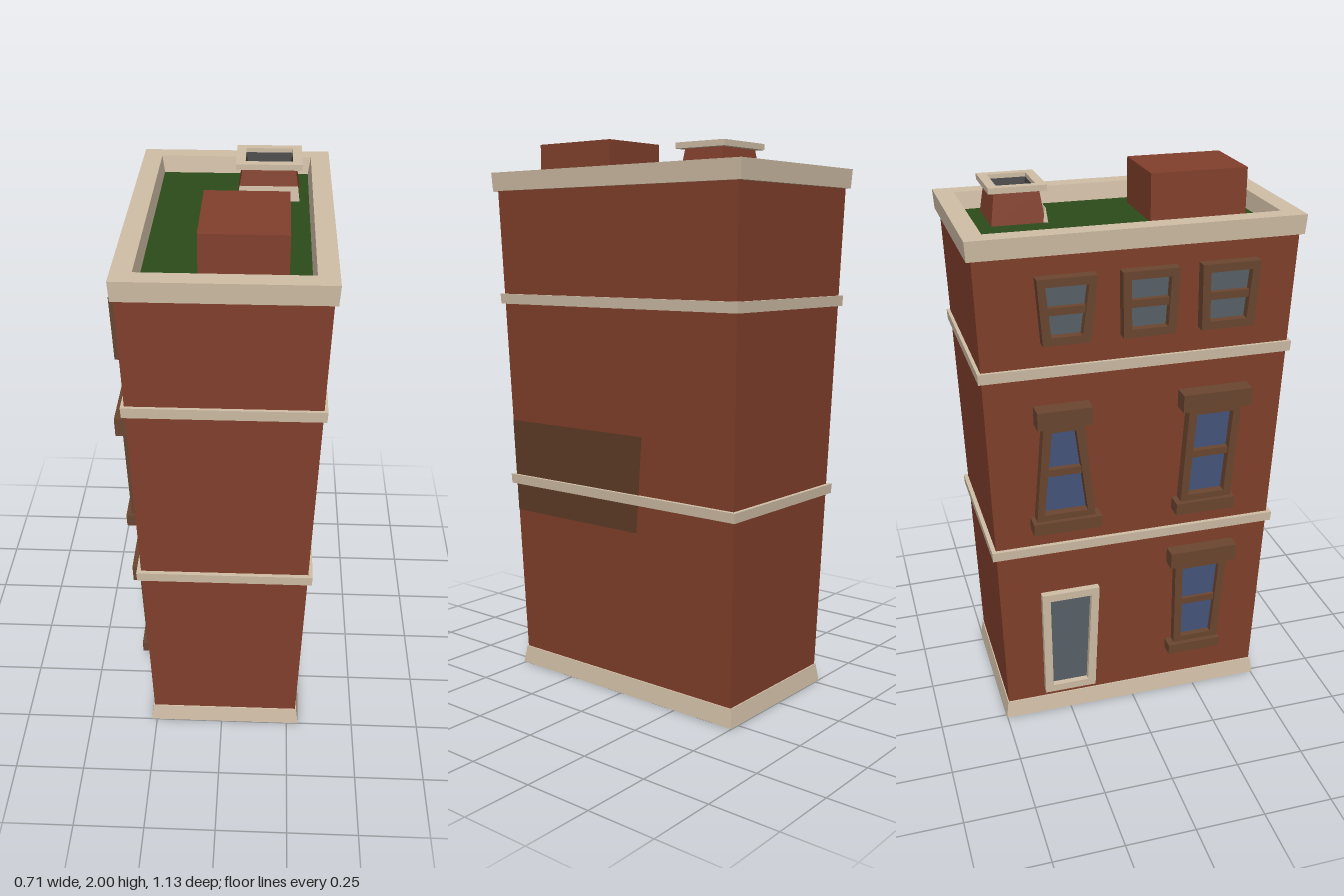
import * as THREE from 'three';

const COLORS = {
  brick: 0x82402c, stone: 0xd0bea6, turf: 0x2c4c1a, wood: 0x6b4630,
  glass: 0x46557a, paleGlass: 0x5a6268, grey: 0x6a6a6a, dark: 0x444444, patch: 0x5f3c27,
};
const mats = {};
for (const k in COLORS) mats[k] = new THREE.MeshStandardMaterial({ color: COLORS[k] });

// Walls lean outwards with height
const lean = (y) => 0.057 * (y - 0.07) / 1.75;

// Plane mappings (u, v, height above plane) -> xyz
const onGround = (u, v, h) => [u, h, -v];
const onWindowWall = (u, v, h) => [-0.257 - lean(v) - h, v, u];
const onBlankWall = (u, v, h) => [0.281 + lean(v) + h, v, -u];

const rect = (u0, u1, v0, v1) => [[u0, v0], [u1, v0], [u1, v1], [u0, v1]];
const trapezoid = (b0, b1, t0, t1, v0, v1) => [[b0, v0], [b1, v0], [t1, v1], [t0, v1]];

// Carries a four-cornered outline through a profile of [inset, height] steps
function loft(name, mat, quad, profile, map, caps = '') {
  const signs = [[1, 1], [-1, 1], [-1, -1], [1, -1]];
  const loops = profile.map(([inset, h]) =>
    quad.map(([u, v], i) => map(u + signs[i][0] * inset, v + signs[i][1] * inset, h)));
  const pos = [];
  const face = (a, b, c, d) => pos.push(...a, ...b, ...c, ...a, ...c, ...d);
  for (let k = 0; k + 1 < loops.length; k++) {
    for (let i = 0; i < 4; i++) {
      const j = (i + 1) % 4;
      face(loops[k][i], loops[k][j], loops[k + 1][j], loops[k + 1][i]);
    }
  }
  if (caps.includes('start')) face(...[...loops[0]].reverse());
  if (caps.includes('end')) face(...loops[loops.length - 1]);
  const geo = new THREE.BufferGeometry();
  geo.setAttribute('position', new THREE.Float32BufferAttribute(pos, 3));
  geo.computeVertexNormals();
  const mesh = new THREE.Mesh(geo, mats[mat]);
  mesh.name = name;
  return mesh;
}

const wallBlock = (name, mat, quad, depth) =>
  loft(name, mat, quad, [[0, -0.01], [0, depth]], onWindowWall, 'start end');

// Sash window: raised frame, recessed pane, cross rail, optional lintel and sill
function sashWindow({ name, quad, glass, depth, lintel, sill }) {
  const g = new THREE.Group();
  g.name = name;
  const edge = 0.028;
  g.add(loft('windowFrame', 'wood', quad,
    [[0, -0.01], [0, depth], [edge, depth], [edge, 0.01]], onWindowWall));
  g.add(loft('pane', glass, quad, [[edge, 0.01]], onWindowWall, 'end'));
  const [bl, br, tr, tl] = quad;
  const mid = (bl[1] + tl[1]) / 2;
  g.add(wallBlock('crossRail', 'wood',
    rect((bl[0] + tl[0]) / 2 + 0.02, (br[0] + tr[0]) / 2 - 0.02, mid - 0.013, mid + 0.013), depth - 0.01));
  if (lintel) g.add(wallBlock('lintel', 'wood', rect(...lintel), depth + 0.02));
  if (sill) g.add(wallBlock('sill', 'wood', rect(...sill), depth + 0.018));
  return g;
}

export function createModel() {
  const model = new THREE.Group();
  model.name = 'townhouse';

  // Leaning brick body and turf roof
  const plan = rect(-0.257, 0.281, -0.49, 0.49);
  model.add(loft('brickWalls', 'brick', plan, [[0, 0.06], [-lean(1.835), 1.835]], onGround));
  model.add(loft('turfRoof', 'turf', plan, [[-0.05, 1.835]], onGround, 'end'));

  // Stone plinth and floor bands
  model.add(loft('plinth', 'stone', plan,
    [[-0.008, 0], [-0.013, 0.003], [-0.004, 0.068], [0.01, 0.07]], onGround, 'start'));
  for (const [y0, y1, out] of [[0.725, 0.76, 0.038], [1.413, 1.45, 0.057]]) {
    model.add(loft('floorBand', 'stone', plan,
      [[0, y0], [-out + 0.002, y0], [-out, y1], [0, y1]], onGround));
  }

  // Cornice with hollow parapet
  model.add(loft('cornice', 'stone', rect(-0.327, 0.353, -0.567, 0.567),
    [[0.03, 1.828], [0.004, 1.828], [0, 1.895], [0.067, 1.895], [0.076, 1.835]], onGround));

  // Roof hut
  model.add(loft('roofHut', 'brick', rect(-0.07, 0.205, -0.455, -0.11),
    [[0, 1.83], [0, 2]], onGround, 'end'));

  // Chimney with stone rim, open flue and flashing
  const chimney = new THREE.Group();
  chimney.name = 'chimney';
  const stack = rect(0.02, 0.25, 0.225, 0.425);
  chimney.add(loft('stack', 'brick', stack, [[0.006, 1.83], [0.023, 1.947]], onGround));
  chimney.add(loft('rim', 'stone', stack,
    [[0.023, 1.945], [0, 1.945], [0, 1.965], [0.033, 1.965], [0.033, 1.945]], onGround));
  chimney.add(loft('flue', 'dark', stack, [[0.033, 1.95], [0.048, 1.86]], onGround));
  chimney.add(loft('flueFloor', 'grey', stack, [[0.048, 1.86]], onGround, 'end'));
  chimney.add(loft('flashing', 'stone', rect(0.026, 0.244, 0.222, 0.24),
    [[0, 1.83], [0.007, 1.885]], onGround, 'end'));
  model.add(chimney);

  // Top floor: three small windows
  for (const [b0, b1, t0, t1] of [
    [-0.335, -0.175, -0.352, -0.153], [-0.065, 0.115, -0.07, 0.122], [0.205, 0.39, 0.2, 0.402]]) {
    model.add(sashWindow({
      name: 'topWindow', glass: 'paleGlass', depth: 0.04,
      quad: trapezoid(b0, b1, t0, t1, 1.535, 1.762),
    }));
  }

  // Middle floor windows
  model.add(sashWindow({
    name: 'middleWindowBack', glass: 'glass', depth: 0.042,
    quad: trapezoid(-0.37, -0.16, -0.34, -0.2, 0.875, 1.25),
    lintel: [-0.365, -0.175, 1.245, 1.31], sill: [-0.385, -0.14, 0.835, 0.88],
  }));
  model.add(sashWindow({
    name: 'middleWindowFront', glass: 'glass', depth: 0.042,
    quad: trapezoid(0.155, 0.345, 0.175, 0.365, 0.875, 1.25),
    lintel: [0.145, 0.395, 1.245, 1.31], sill: [0.135, 0.355, 0.835, 0.88],
  }));

  // Ground floor window
  model.add(sashWindow({
    name: 'groundWindow', glass: 'glass', depth: 0.033,
    quad: trapezoid(0.155, 0.33, 0.15, 0.35, 0.235, 0.605),
    lintel: [0.125, 0.38, 0.6, 0.663], sill: [0.13, 0.335, 0.2, 0.24],
  }));

  // Door with stone surround
  const door = new THREE.Group();
  door.name = 'door';
  const opening = trapezoid(-0.35, -0.155, -0.355, -0.14, 0.1, 0.55);
  door.add(loft('doorSurround', 'stone', opening,
    [[0, -0.01], [0, 0.026], [0.03, 0.026], [0.03, 0.004]], onWindowWall));
  door.add(loft('doorPanel', 'paleGlass', opening, [[0.03, 0.004]], onWindowWall, 'end'));
  model.add(door);

  // Weathered patch on the blank wall
  model.add(loft('wallPatch', 'patch', trapezoid(-0.507, 0.09, -0.518, 0.125, 0.62, 0.97),
    [[0, 0.003]], onBlankWall, 'end'));

  return model;
}
